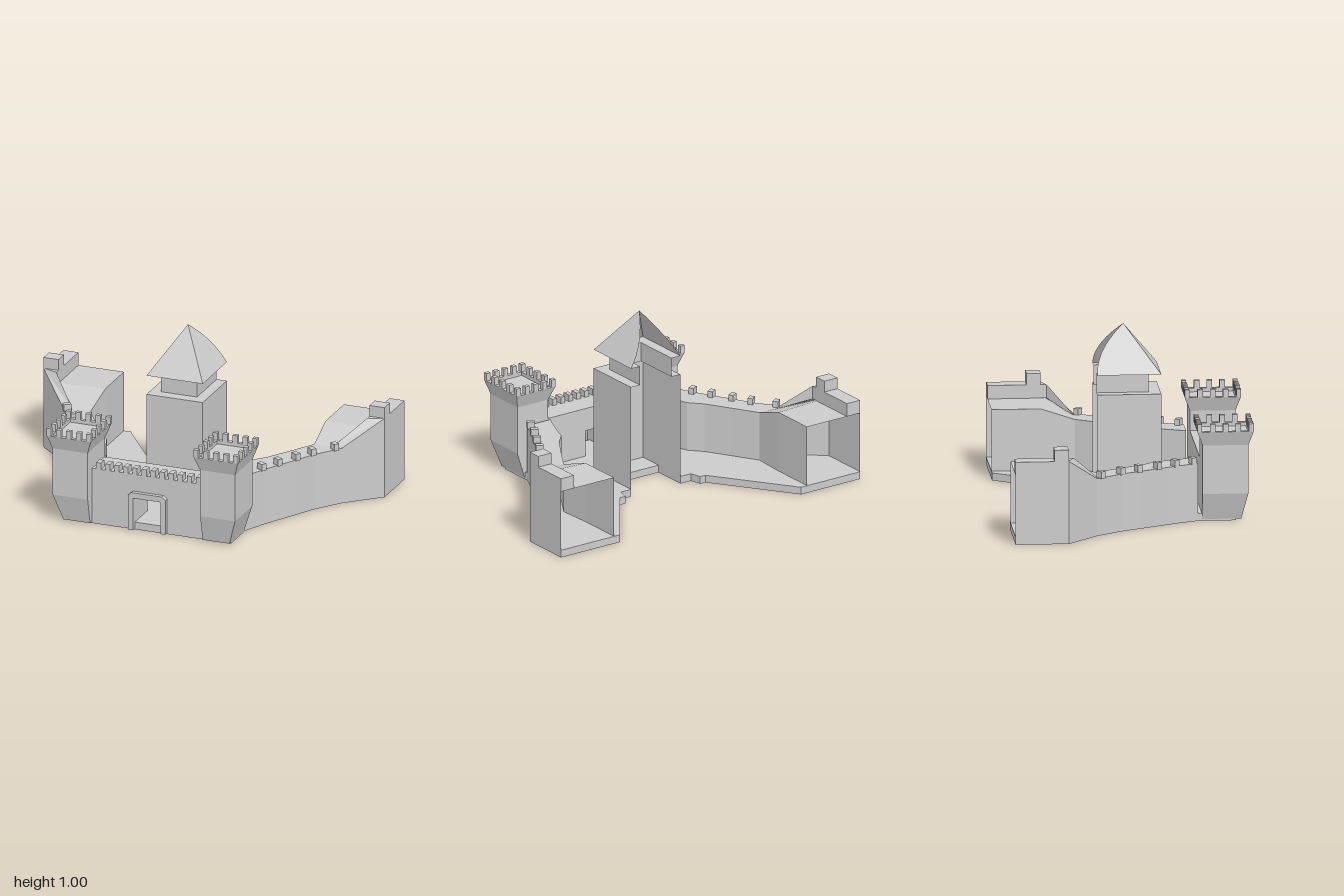
import * as THREE from 'three';

const stone = new THREE.MeshStandardMaterial({ color: 0xcccccc, flatShading: true, side: THREE.DoubleSide });

function mesh(geometry, name) {
  const m = new THREE.Mesh(geometry, stone);
  m.name = name;
  return m;
}

// Joins successive rows of points with quads; closed rows wrap around.
function skin(rows, closed = false) {
  const pos = [];
  for (let i = 0; i < rows.length - 1; i++) {
    const a = rows[i], b = rows[i + 1], n = a.length;
    for (let j = 0; j < (closed ? n : n - 1); j++) {
      const k = (j + 1) % n;
      pos.push(...a[j], ...a[k], ...b[k], ...a[j], ...b[k], ...b[j]);
    }
  }
  const g = new THREE.BufferGeometry();
  g.setAttribute('position', new THREE.Float32BufferAttribute(pos, 3));
  g.computeVertexNormals();
  return g;
}

function block(w, h, d, x, y, z, name, turn = 0) {
  const m = mesh(new THREE.BoxGeometry(w, h, d), name);
  m.position.set(x, y + h / 2, z);
  m.rotation.y = turn;
  return m;
}

function extrude(points, depth, holes = []) {
  const toShape = (p, C) => new C(p.map(([x, y]) => new THREE.Vector2(x, y)));
  const s = toShape(points, THREE.Shape);
  s.holes = holes.map((h) => toShape(h, THREE.Path));
  return new THREE.ExtrudeGeometry(s, { depth, bevelEnabled: false });
}

// Wing plan stations: outer x, outer z, inner x, inner z, top height
const wing = [
  [1, -0.667, 0.645, -0.667, 0.385], [1, -0.377, 0.645, -0.4, 0.385],
  [0.82, -0.21, 0.655, -0.21, 0.32], [0.715, -0.07, 0.565, -0.06, 0.32],
  [0.65, 0.05, 0.485, 0.07, 0.32], [0.6, 0.14, 0.42, 0.14, 0.32],
  [0.545, 0.24, 0.385, 0.24, 0.32], [0.485, 0.37, 0.33, 0.37, 0.32],
];

function makeWing() {
  const g = new THREE.Group();
  // hollow curtain wall and end bastion, open at the back
  g.add(mesh(skin(wing.map(([ox, oz, ix, iz, h]) =>
    [[ox, 0, oz], [ox, h, oz], [ix, h, iz], [ix, 0, iz]])), 'curtainWall'));

  // raised parapet running down to the wall walk
  const parapet = [
    [1, -0.667, 0.912, -0.667, 0.385, 0.46],
    [1, -0.377, 0.912, -0.345, 0.385, 0.46],
    [0.82, -0.21, 0.765, -0.21, 0.315, 0.322],
  ];
  const rows = parapet.map(([ox, oz, ix, iz, lo, hi]) =>
    [[ox, lo, oz], [ox, hi, oz], [ix, hi, iz], [ix, lo, iz]]);
  g.add(mesh(skin(rows, true), 'parapet'));
  g.add(block(0.088, 0.075, 0.002, 0.956, 0.385, -0.666, 'parapetEnd'));
  g.add(block(0.088, 0.063, 0.078, 0.956, 0.46, -0.416, 'bastionMerlon'));

  // merlons along the outer edge
  for (const z of [0.34, 0.24, 0.14, 0.03, -0.07, -0.185]) {
    const i = wing.findIndex((s) => s[1] >= z);
    const a = wing[i - 1], b = wing[i];
    const x = a[0] + (b[0] - a[0]) * (z - a[1]) / (b[1] - a[1]);
    const turn = Math.atan2(b[0] - a[0], b[1] - a[1]);
    g.add(block(0.042, 0.04, 0.03, x - 0.016, 0.315, z, 'wallMerlon', turn));
  }
  return g;
}

function makeTower() {
  const g = new THREE.Group();
  const ring = (x0, x1, z0, z1, y) => [[x0, y, z0], [x0, y, z1], [x1, y, z1], [x1, y, z0]];
  // tapered foot, flared head and sunken platform
  g.add(mesh(skin([
    ring(0.33, 0.487, 0.39, 0.605, 0.01),
    ring(0.33, 0.535, 0.39, 0.64, 0.16),
    ring(0.33, 0.535, 0.39, 0.64, 0.43),
    ring(0.302, 0.56, 0.36, 0.667, 0.51),
    ring(0.327, 0.535, 0.385, 0.642, 0.51),
    ring(0.327, 0.535, 0.385, 0.642, 0.49),
    ring(0.431, 0.431, 0.513, 0.513, 0.49),
  ], true), 'towerBody'));
  // merlons around the rim
  const n = 5;
  for (let i = 0; i < n; i++) {
    const x = THREE.MathUtils.lerp(0.3145, 0.5475, i / (n - 1));
    const z = THREE.MathUtils.lerp(0.3745, 0.6525, i / (n - 1));
    for (const ez of [0.3725, 0.6545]) g.add(block(0.028, 0.043, 0.025, x, 0.51, ez, 'towerMerlon'));
    if (i > 0 && i < n - 1) {
      for (const ex of [0.3145, 0.5475]) g.add(block(0.025, 0.043, 0.03, ex, 0.51, z, 'towerMerlon'));
    }
  }
  return g;
}

function makeKeep() {
  // three-sided shell, open at the back
  const u = (w, front, y, back = -0.155) =>
    [[-w, y, back], [-w, y, front], [w, y, front], [w, y, back]];
  const rows = [
    u(0.165, 0.195, 0), u(0.165, 0.195, 0.638), u(0.105, 0.13, 0.638),
    u(0.105, 0.13, 0.747),
  ];
  // pointed roof with a curved rear edge
  const roof = [];
  for (let i = 0; i <= 12; i++) {
    const t = i / 12;
    roof.push(u(0.165 * (1 - t), 0.195 * (1 - t), 0.747 + 0.253 * t, -0.155 * (1 - t * t)));
  }
  const g = new THREE.Group();
  g.add(mesh(skin([...rows, roof[0]]), 'keepWalls'), mesh(skin(roof), 'keepRoof'));
  return g;
}

function makeGatehouse() {
  const g = new THREE.Group();
  // thick front wall pierced by the gate
  const wall = mesh(extrude([[-0.34, 0], [-0.08, 0], [-0.08, 0.19], [0.08, 0.19], [0.08, 0],
    [0.34, 0], [0.34, 0.32], [-0.34, 0.32]], 0.185), 'frontWall');
  wall.position.z = 0.39;
  const frame = mesh(extrude([[-0.11, 0.005], [-0.08, 0.005], [-0.08, 0.19], [0.08, 0.19],
    [0.08, 0.005], [0.11, 0.005], [0.11, 0.205], [0.09, 0.222], [-0.09, 0.222], [-0.11, 0.205]],
  0.025), 'gateFrame');
  frame.position.z = 0.575;
  g.add(wall, frame);
  for (let i = 0; i < 12; i++) {
    g.add(block(0.028, 0.037, 0.048, -0.292 + i * 0.0531, 0.32, 0.551, 'frontMerlon'));
  }
  return g;
}

function makeFloor() {
  // V-shaped slab, notched inside the keep
  const half = [[0.485, 0.575], ...wing.slice().reverse().map((s) => [s[0], s[1]]),
    [0.605, -0.667], [0.285, -0.22], [0.25, -0.22], [0.235, -0.155], [0.165, -0.155], [0.165, 0.05]];
  const outline = [...half, ...half.slice().reverse().map(([x, z]) => [-x, z])];
  const geo = extrude(outline.map(([x, z]) => [x, -z]), 0.042);
  geo.rotateX(-Math.PI / 2);
  return mesh(geo, 'floor');
}

export function createModel() {
  const model = new THREE.Group();
  model.name = 'castle';
  const add = (part, name) => { part.name = name; model.add(part); };
  add(makeFloor(), 'floor');
  add(makeGatehouse(), 'gatehouse');
  add(makeKeep(), 'keep');
  for (const [side, label] of [[1, 'left'], [-1, 'right']]) {
    const w = makeWing(), t = makeTower();
    w.scale.x = t.scale.x = side;
    add(w, label + 'Wing');
    add(t, label + 'Tower');
  }
  return model;
}
